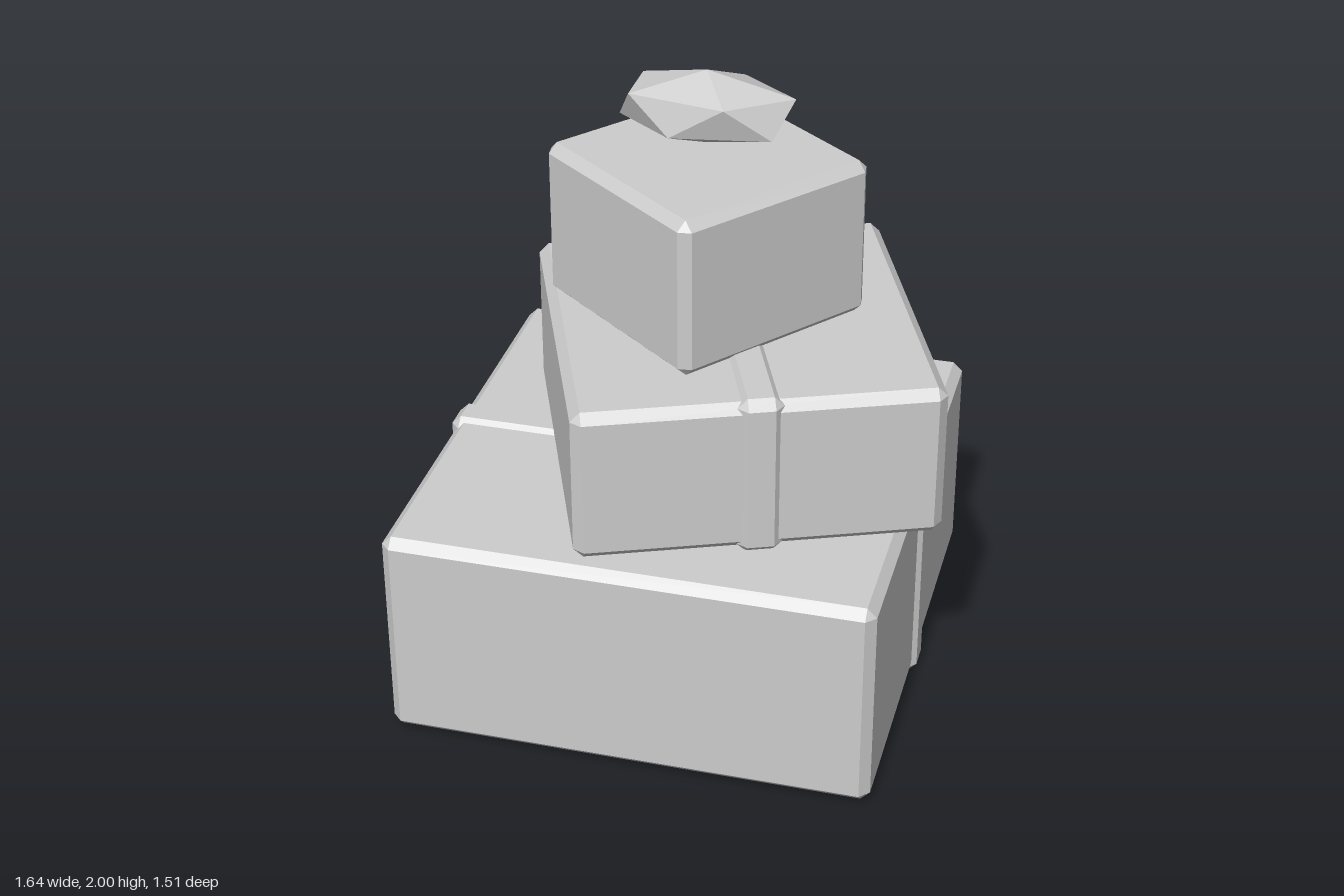
import * as THREE from 'three';
import { ConvexGeometry } from 'three/addons/geometries/ConvexGeometry.js';

const BEVEL = 0.03;

// Box with flat chamfers on every edge: 24 corner points, hulled
function chamferBox(w, h, d, c = BEVEL) {
  const half = [w / 2, h / 2, d / 2];
  const points = [];
  for (const sx of [-1, 1]) for (const sy of [-1, 1]) for (const sz of [-1, 1]) {
    for (let face = 0; face < 3; face++) {
      const p = half.map((v, i) => (i === face ? v : v - c));
      points.push(new THREE.Vector3(p[0] * sx, p[1] * sy, p[2] * sz));
    }
  }
  return new ConvexGeometry(points);
}

// Faceted gem: icosahedron standing on a vertex, stretched along x
function gemGeometry(rx, ry, rz) {
  const points = [new THREE.Vector3(0, ry, 0), new THREE.Vector3(0, -ry, 0)];
  const ringY = 1 / Math.sqrt(5), ringR = 2 / Math.sqrt(5);
  for (let i = 0; i < 5; i++) {
    const a = (i * 2 * Math.PI) / 5;
    const x = Math.cos(a) * ringR, z = Math.sin(a) * ringR;
    points.push(new THREE.Vector3(x * rx, ringY * ry, z * rz));
    points.push(new THREE.Vector3(-x * rx, -ringY * ry, -z * rz));
  }
  return new ConvexGeometry(points);
}

export function createModel() {
  const model = new THREE.Group();
  model.name = 'giftStack';
  const grey = new THREE.MeshStandardMaterial({ color: 0xcccccc, flatShading: true });
  grey.name = 'light grey';

  function add(parent, name, geometry, x, y, z) {
    const mesh = new THREE.Mesh(geometry, grey);
    mesh.name = name;
    mesh.position.set(x, y, z);
    parent.add(mesh);
  }

  // Each gift: footprint, y range, centre, turn, and the axis its ribbon runs along
  const gifts = [
    { name: 'largeGift', w: 1.52, d: 1.51, y0: 0.015, y1: 0.72, x: -0.05, z: 0, turn: 0, ribbon: 'x' },
    { name: 'middleGift', w: 1.112, d: 1.112, y0: 0.725, y1: 1.225, x: 0.1, z: 0, turn: 22.3, ribbon: 'z' },
    { name: 'smallGift', w: 0.705, d: 0.705, y0: 1.225, y1: 1.735, x: 0, z: -0.05, turn: -38.2 },
  ];
  for (const g of gifts) {
    const group = new THREE.Group();
    group.name = g.name;
    group.position.set(g.x, (g.y0 + g.y1) / 2, g.z);
    group.rotation.y = THREE.MathUtils.degToRad(g.turn);
    const h = g.y1 - g.y0;
    add(group, g.name + 'Box', chamferBox(g.w, h, g.d), 0, 0, 0);
    // Ribbon stands slightly proud of the box all round
    if (g.ribbon) {
      const width = 0.14, proud = 0.03;
      const size = g.ribbon === 'x' ? [g.w + proud, h + proud, width] : [width, h + proud, g.d + proud];
      add(group, g.name + 'Ribbon', chamferBox(...size), 0, 0, 0);
    }
    model.add(group);
  }

  // Gem hovering above the stack
  add(model, 'topGem', gemGeometry(0.302, 0.118, 0.16), 0, 1.882, -0.05);
  return model;
}
